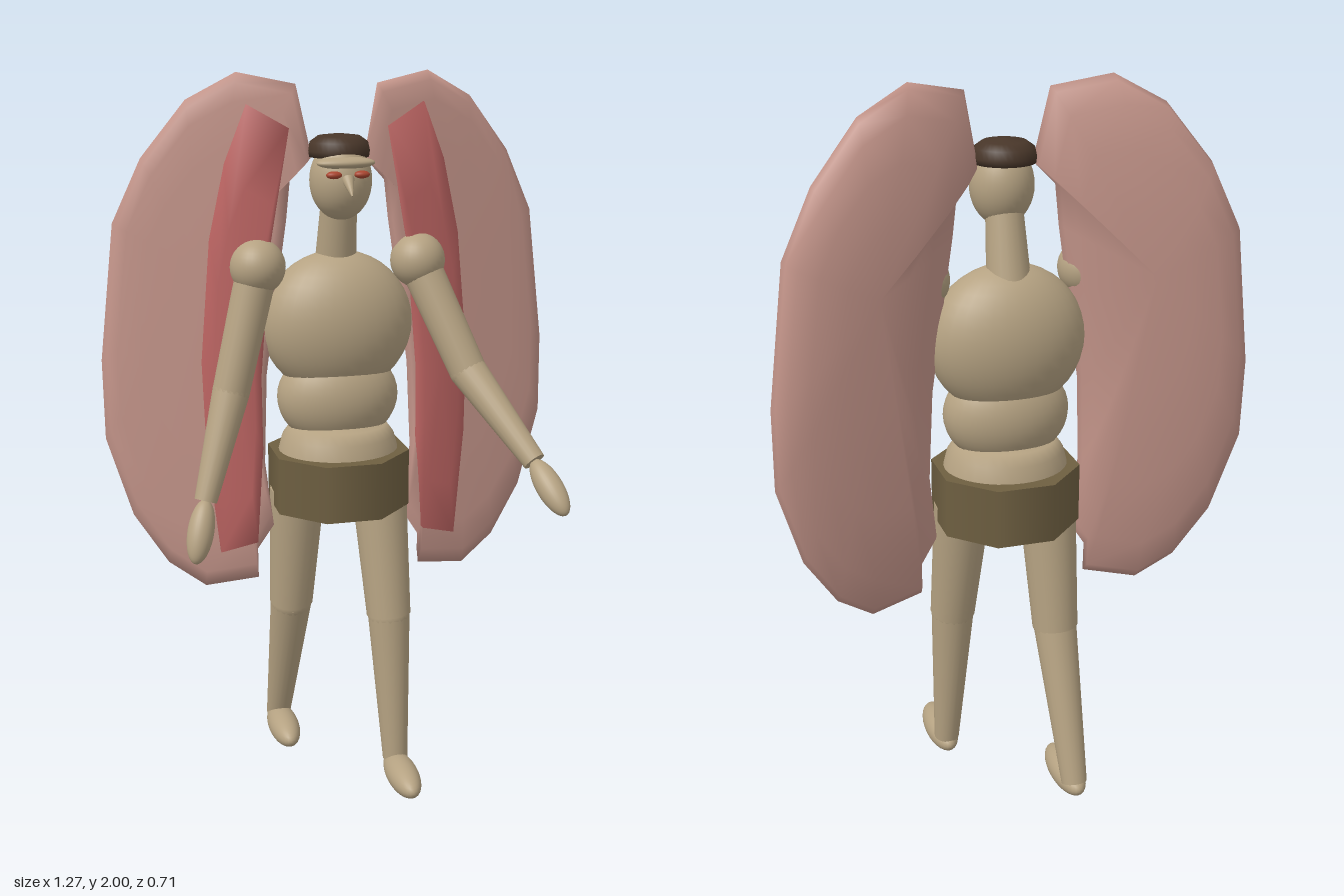
import * as THREE from 'three';
import { mergeVertices } from 'three/addons/utils/BufferGeometryUtils.js';

const material = (name, color) => {
  const m = new THREE.MeshStandardMaterial({ color });
  m.name = name;
  return m;
};
const V = (p) => new THREE.Vector3(...p);
const lathe = (profile) => new THREE.LatheGeometry(profile.map((p) => new THREE.Vector2(...p)), 32);

// Wings sweep back outwards and lean back at the top
const sweep = (x, y) => -0.06 - 0.25 * (x - 0.07) - 0.04 * (y - 1.25);

// Domed shell: the outline is shrunk towards its centre ring by ring, each ring [scale, z offset]
function shellGeometry(outline, [cx, cy], rings, side) {
  const n = outline.length, positions = [], index = [];
  rings.forEach(([s, dz], k) => {
    outline.forEach(([ox, oy], i) => {
      const x = cx + (ox - cx) * s, y = cy + (oy - cy) * s;
      positions.push(side * x, y, sweep(x, y) + dz);
      if (k === rings.length - 1) return;
      const a = k * n + i, b = k * n + (i + 1) % n, c = a + n, d = b + n;
      if (side > 0) index.push(a, c, d, a, d, b);
      else index.push(a, d, c, a, b, d);
    });
  });
  const geometry = new THREE.BufferGeometry();
  geometry.setAttribute('position', new THREE.Float32BufferAttribute(positions, 3));
  geometry.setIndex(index);
  const merged = mergeVertices(geometry, 1e-5);
  merged.computeVertexNormals();
  return merged;
}

export function createModel() {
  const model = new THREE.Group();
  model.name = 'wingedFigure';

  const skin = material('skin', 0xb5a282);
  const hairBrown = material('hairBrown', 0x483629);
  const cloth = material('cloth', 0x6e5f41);
  const wingPink = material('wingPink', 0xc4958a);
  const liningRed = material('liningRed', 0xbc6462);
  const eyeRed = material('eyeRed', 0xa8452f);

  const add = (name, geometry, mat, parent = model) => {
    const mesh = new THREE.Mesh(geometry, mat);
    mesh.name = name;
    parent.add(mesh);
    return mesh;
  };
  const ellipsoid = (name, pos, radii, mat = skin, parent = model) => {
    const mesh = add(name, new THREE.SphereGeometry(1, 32, 20), mat, parent);
    mesh.position.set(...pos);
    mesh.scale.set(...radii);
    return mesh;
  };
  // Tapered limb from a to b
  const limb = (name, a, b, ra, rb, parent = model) => {
    const from = V(a), to = V(b), dir = to.clone().sub(from);
    const mesh = add(name, new THREE.CylinderGeometry(rb, ra, dir.length(), 20), skin, parent);
    mesh.position.copy(from).add(to).multiplyScalar(0.5);
    mesh.quaternion.setFromUnitVectors(new THREE.Vector3(0, 1, 0), dir.normalize());
    return mesh;
  };

  // Torso
  ellipsoid('chest', [0, 1.333, -0.105], [0.21, 0.2, 0.135]);
  ellipsoid('abdomen', [0, 1.13, -0.1], [0.17, 0.14, 0.118]);
  const pelvis = add('pelvis', lathe([[0, 0.84], [0.165, 0.84], [0.18, 0.92], [0.17, 0.97], [0.157, 1.02], [0.135, 1.05], [0, 1.08]]), skin);
  pelvis.scale.z = 0.9;
  pelvis.position.z = -0.095;
  limb('neck', [0, 1.49, -0.12], [0, 1.67, -0.08], 0.057, 0.048);

  // Octagonal trunks
  const trunks = add('trunks', new THREE.CylinderGeometry(0.2, 0.2, 0.16, 8), cloth);
  trunks.rotation.y = Math.PI / 8;
  trunks.position.set(0, 0.9, -0.095);

  // Head and face
  const head = new THREE.Group();
  head.name = 'head';
  model.add(head);
  ellipsoid('skull', [0, 1.725, -0.06], [0.083, 0.105, 0.085], skin, head);
  const hair = add('hair', lathe([[0, 1.785], [0.08, 1.785], [0.082, 1.8], [0.077, 1.823], [0.056, 1.838], [0, 1.845]]), hairBrown, head);
  hair.position.z = -0.08;
  ellipsoid('brow', [0, 1.775, -0.003], [0.078, 0.016, 0.032], skin, head);
  for (const side of [-1, 1]) {
    ellipsoid('eye', [side * 0.037, 1.747, 0.019], [0.021, 0.01, 0.014], eyeRed, head);
  }
  limb('beak', [0, 1.735, 0.018], [0, 1.697, 0.065], 0.017, 0.002, head);

  // Arms: the left reaches forward, the right hangs
  const arms = [
    { name: 'leftArm', shoulder: [0.222, 1.5, -0.085], elbow: [0.335, 1.21, 0.03], wrist: [0.46, 1.0, 0.23], tip: [0.505, 0.89, 0.35] },
    { name: 'rightArm', shoulder: [-0.222, 1.5, -0.085], elbow: [-0.305, 1.17, -0.06], wrist: [-0.395, 0.89, 0.02], tip: [-0.435, 0.74, 0.08] },
  ];
  for (const { name, shoulder, elbow, wrist, tip } of arms) {
    const arm = new THREE.Group();
    arm.name = name;
    model.add(arm);
    ellipsoid('shoulder', shoulder, [0.075, 0.075, 0.075], skin, arm);
    limb('upperArm', shoulder, elbow, 0.056, 0.051, arm);
    ellipsoid('elbow', elbow, [0.051, 0.051, 0.051], skin, arm);
    limb('forearm', elbow, wrist, 0.051, 0.031, arm);
    const a = V(wrist), b = V(tip);
    const centre = a.clone().add(b).multiplyScalar(0.5);
    const hand = ellipsoid('hand', centre.toArray(), [0.036, a.distanceTo(b) / 2 + 0.005, 0.036], skin, arm);
    hand.quaternion.setFromUnitVectors(new THREE.Vector3(0, 1, 0), b.sub(a).normalize());
  }

  // Legs in mid stride
  const legs = [
    { name: 'leftLeg', hip: [0.11, 0.86, -0.06], knee: [0.125, 0.5, 0], ankle: [0.137, 0.06, 0.04], foot: [0.137, 0.044, 0.115] },
    { name: 'rightLeg', hip: [-0.112, 0.86, -0.12], knee: [-0.125, 0.5, -0.165], ankle: [-0.14, 0.07, -0.305], foot: [-0.14, 0.062, -0.23] },
  ];
  for (const { name, hip, knee, ankle, foot } of legs) {
    const leg = new THREE.Group();
    leg.name = name;
    model.add(leg);
    limb('thigh', hip, knee, 0.078, 0.063, leg);
    ellipsoid('knee', knee, [0.06, 0.06, 0.06], skin, leg);
    limb('shin', knee, ankle, 0.06, 0.036, leg);
    ellipsoid('foot', foot, [0.045, 0.043, 0.12], skin, leg);
  }

  // Wings: shells with a domed back and a flatter front, and a raised red lining
  const wingOutline = [
    [0.26, 2.0], [0.11, 1.97], [0.072, 1.785], [0.128, 1.73], [0.14, 1.62], [0.165, 1.45], [0.2, 1.2],
    [0.21, 0.95], [0.19, 0.77], [0.235, 0.7], [0.235, 0.615], [0.38, 0.59], [0.48, 0.66], [0.57, 0.8],
    [0.635, 1.02], [0.635, 1.24], [0.59, 1.61], [0.51, 1.78], [0.39, 1.93],
  ];
  const wingRings = [
    [0, 0.02], [0.6, 0.02], [0.85, 0.016], [0.95, 0.01], [1, -0.006],
    [0.97, -0.028], [0.86, -0.054], [0.65, -0.076], [0.35, -0.088], [0, -0.092],
  ];
  const liningOutline = [
    [0.24, 1.92], [0.135, 1.86], [0.19, 1.55], [0.22, 1.2], [0.22, 1.0], [0.24, 0.73],
    [0.34, 0.7], [0.37, 1.0], [0.375, 1.24], [0.345, 1.57], [0.3, 1.77],
  ];
  const liningRings = [[0, 0.042], [0.7, 0.04], [1, 0.028], [1, -0.02]];
  for (const side of [-1, 1]) {
    const wing = new THREE.Group();
    wing.name = side > 0 ? 'leftWing' : 'rightWing';
    model.add(wing);
    add('wingShell', shellGeometry(wingOutline, [0.36, 1.5], wingRings, side), wingPink, wing);
    add('wingLining', shellGeometry(liningOutline, [0.29, 1.2], liningRings, side), liningRed, wing);
  }

  return model;
}
